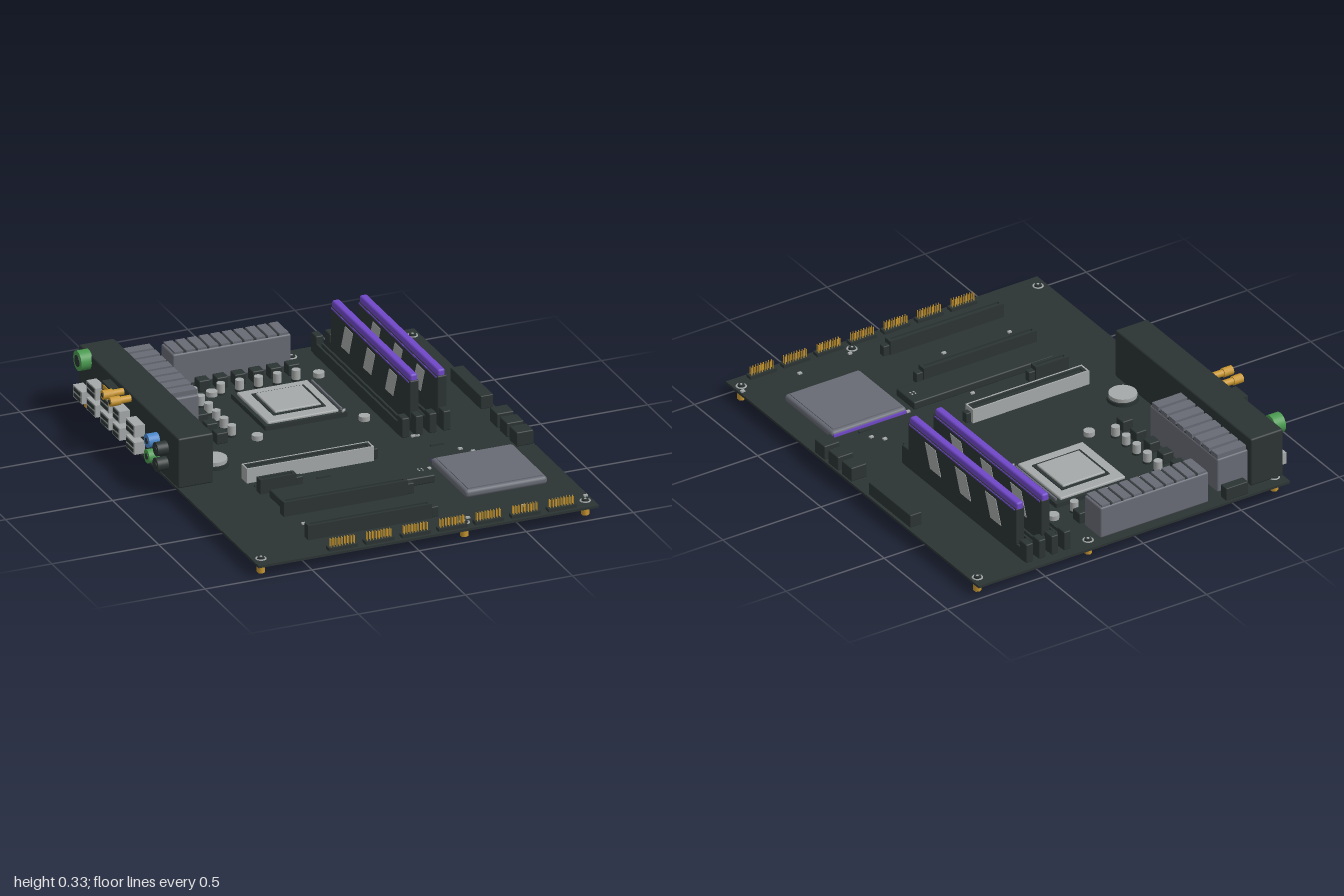
import * as THREE from 'three';
import { RoundedBoxGeometry } from 'three/addons/geometries/RoundedBoxGeometry.js';

const mat = (name, color) => new THREE.MeshStandardMaterial({ name, color });

export function createModel() {
  const dark = mat('charcoal', 0x2b3433);
  const grey = mat('heatsink grey', 0x686b75);
  const silver = mat('silver', 0xa6a9a9);
  const gold = mat('brass', 0xc8962f);
  const purple = mat('purple', 0x7048c8);
  const green = mat('green', 0x4a9a50);
  const blue = mat('blue', 0x4a86c8);
  const TOP = 0.063; // upper face of the board

  const root = new THREE.Group();
  root.name = 'mainboard';
  const group = (name) => {
    const g = new THREE.Group();
    g.name = name;
    root.add(g);
    return g;
  };
  const add = (parent, name, geo, m, x = 0, y = 0, z = 0) => {
    const mesh = new THREE.Mesh(geo, m);
    mesh.name = name;
    mesh.position.set(x, y, z);
    parent.add(mesh);
    return mesh;
  };
  // box from its limits on each axis; r > 0 rounds the edges
  const box = (p, name, m, x0, x1, y0, y1, z0, z1, r = 0) => {
    const s = [x1 - x0, y1 - y0, z1 - z0];
    const geo = r ? new RoundedBoxGeometry(...s, 2, r) : new THREE.BoxGeometry(...s);
    return add(p, name, geo, m, (x0 + x1) / 2, (y0 + y1) / 2, (z0 + z1) / 2);
  };
  // upright cylinder from y0 to y1
  const post = (p, name, m, x, z, r, y0, y1, sides = 20) =>
    add(p, name, new THREE.CylinderGeometry(r, r, y1 - y0, sides), m, x, (y0 + y1) / 2, z);
  // cylinder lying along x
  const plug = (p, name, m, x0, x1, y, z, r, sides = 20) => {
    const c = add(p, name, new THREE.CylinderGeometry(r, r, x1 - x0, sides), m, (x0 + x1) / 2, y, z);
    c.rotation.z = Math.PI / 2;
    return c;
  };
  // flat square ring with a rectangular hole, lying in the xz plane
  const frame = (p, name, m, x0, x1, z0, z1, t, y0, y1) => {
    box(p, name, m, x0, x1, y0, y1, z0, z0 + t);
    box(p, name, m, x0, x1, y0, y1, z1 - t, z1);
    box(p, name, m, x0, x0 + t, y0, y1, z0 + t, z1 - t);
    box(p, name, m, x1 - t, x1, y0, y1, z0 + t, z1 - t);
  };

  // Board with standoffs and screws
  box(root, 'board', dark, -0.75, 0.84, 0.052, TOP, -1, 1);
  const mounts = group('mounts');
  for (const x of [-0.71, 0.24, 0.805]) for (const z of [-0.935, 0.932]) {
    post(mounts, 'standoff', gold, x, z, 0.018, 0, 0.052, 6);
    const ring = add(mounts, 'screwRing', new THREE.TorusGeometry(0.021, 0.004, 6, 20), silver, x, TOP, z);
    ring.rotation.x = Math.PI / 2;
    post(mounts, 'screwHead', dark, x, z, 0.015, TOP, 0.072, 12);
    post(mounts, 'screwSlot', silver, x, z, 0.006, 0.072, 0.074, 6);
  }

  // Rear port cover
  box(root, 'portCover', dark, -0.75, -0.585, TOP, 0.297, -0.945, 0.13, 0.008);

  // Regulator heatsinks: solid body with raised fins
  const sinks = group('regulatorHeatsinks');
  box(sinks, 'sideBody', grey, -0.587, -0.43, 0.07, 0.235, -0.92, -0.385, 0.008);
  for (let i = 0; i < 8; i++) {
    const z = -0.915 + i * 0.0665;
    box(sinks, 'sideFin', grey, -0.58, -0.433, 0.23, 0.256, z, z + 0.05);
    if (i < 7) box(sinks, 'sideGroove', dark, -0.58, -0.434, 0.234, 0.238, z + 0.05, z + 0.0665);
  }
  box(sinks, 'rearBody', grey, -0.357, 0.195, 0.07, 0.221, -0.965, -0.835, 0.008);
  for (let i = 0; i < 10; i++) {
    const x = -0.347 + i * 0.0545;
    box(sinks, 'rearFin', grey, x, x + 0.042, 0.215, 0.23, -0.96, -0.84);
    if (i < 9) box(sinks, 'rearGroove', dark, x + 0.042, x + 0.0545, 0.218, 0.223, -0.96, -0.84);
  }

  // Processor socket
  const socket = group('processorSocket');
  box(socket, 'socketBase', dark, -0.168, 0.215, TOP, 0.085, -0.645, -0.272);
  box(socket, 'loadPlate', silver, -0.15, 0.182, 0.08, 0.096, -0.628, -0.288, 0.006);
  box(socket, 'lidGap', dark, -0.102, 0.143, 0.09, 0.1, -0.578, -0.34);
  box(socket, 'processorLid', silver, -0.088, 0.128, 0.095, 0.108, -0.564, -0.354, 0.005);
  box(socket, 'lever', grey, 0.195, 0.203, 0.085, 0.095, -0.62, -0.3);
  const handle = box(socket, 'leverHandle', silver, 0.19, 0.215, 0.085, 0.093, -0.289, -0.281);
  handle.rotation.y = 0.8;

  // Chokes and capacitors around the socket
  const power = group('powerStages');
  const choke = (x, z) => box(power, 'choke', dark, x - 0.027, x + 0.027, TOP, 0.115, z - 0.027, z + 0.027, 0.005);
  const cap = (x, z) => {
    post(power, 'capacitorFoot', dark, x, z, 0.021, TOP, 0.072);
    post(power, 'capacitor', silver, x, z, 0.019, 0.072, 0.115);
  };
  for (let i = 0; i < 6; i++) {
    choke(-0.243 + i * 0.0835, -0.78);
    choke(-0.39, -0.78 + i * 0.106);
    cap(-0.32, -0.705 + i * 0.084);
    if (i < 5) cap(-0.19 + i * 0.088, -0.705);
  }
  for (const x of [-0.232, 0.268]) for (const z of [-0.705, -0.212])
    post(power, 'coolerMount', silver, x, z, 0.025, TOP, 0.085, 12);
  box(power, 'powerConnector', dark, -0.543, -0.43, TOP, 0.125, -0.99, -0.945, 0.004);

  // Memory slots, two of them filled
  const memory = group('memory');
  const stripe = new THREE.Shape([[0.16, 0.268], [0.245, 0.268], [0.288, 0.155], [0.203, 0.155]]
    .map(([a, b]) => new THREE.Vector2(a, b)));
  const stripeGeo = new THREE.ExtrudeGeometry(stripe, { depth: 0.004, bevelEnabled: false });
  stripeGeo.translate(0, 0, -0.002).rotateY(Math.PI / 2);
  [0.357, 0.421, 0.485, 0.55].forEach((x, i) => {
    for (const s of [-1, 1]) box(memory, 'slotWall', dark, x + s * 0.012 - 0.005, x + s * 0.012 + 0.005, TOP, 0.12, -0.93, 0.01);
    box(memory, 'slotFloor', dark, x - 0.01, x + 0.01, TOP, 0.095, -0.93, 0.01);
    for (const z of [-0.955, -0.025]) box(memory, 'latch', dark, x - 0.018, x + 0.018, TOP, 0.155, z, z + 0.055, 0.005);
    if (i % 2 === 0) return;
    box(memory, 'moduleEdge', dark, x - 0.005, x + 0.005, 0.095, 0.14, -0.885, -0.025);
    box(memory, 'moduleCover', dark, x - 0.022, x + 0.022, 0.121, 0.298, -0.88, -0.025, 0.006);
    box(memory, 'moduleLightBar', purple, x - 0.018, x + 0.018, 0.285, 0.326, -0.88, -0.03, 0.01);
    for (const s of [-1, 1]) {
      box(memory, 'moduleLightEdge', purple, x + s * 0.022 - 0.002, x + s * 0.022 + 0.002, 0.287, 0.294, -0.87, -0.035);
      for (let k = 0; k < 3; k++) add(memory, 'moduleStripe', stripeGeo, silver, x + s * 0.022, 0, -k * 0.238);
    }
  });

  // Expansion slots
  const slots = group('expansionSlots');
  const slot = (x0, x1, z, w = 0.042) => {
    for (const s of [-1, 1]) {
      const c = z + s * (w / 2 - 0.007);
      box(slots, 'slotWall', dark, x0, x1, TOP, 0.13, c - 0.007, c + 0.007);
    }
    for (const x of [x0, x1 - 0.014]) box(slots, 'slotEnd', dark, x, x + 0.014, TOP, 0.13, z - w / 2, z + w / 2);
    box(slots, 'slotFloor', dark, x0, x1, TOP, 0.122, z - w / 2 + 0.01, z + w / 2 - 0.01);
    box(slots, 'slotLatch', dark, x1, x1 + 0.033, TOP, 0.112, z - 0.016, z + 0.016, 0.004);
  };
  slot(-0.449, 0.129, 0.165, 0.05);
  frame(slots, 'slotArmour', silver, -0.457, 0.137, 0.135, 0.195, 0.007, TOP, 0.131);
  slot(-0.449, -0.28, 0.302);
  slot(-0.449, 0.13, 0.555);
  slot(-0.449, 0.13, 0.818);

  // Storage cover and chipset heatsink
  box(root, 'storageCover', dark, -0.425, 0.29, TOP, 0.1, 0.363, 0.505, 0.006);
  for (const dx of [-0.008, 0.008]) for (const dz of [-0.008, 0.008])
    box(root, 'coverScrew', silver, 0.247 + dx, 0.254 + dx, 0.1, 0.102, 0.43 + dz, 0.437 + dz);
  box(root, 'chipsetHeatsink', grey, 0.338, 0.722, 0.067, 0.104, 0.342, 0.722, 0.015);
  box(root, 'chipsetPlate', grey, 0.355, 0.705, 0.1, 0.108, 0.36, 0.705);
  box(root, 'chipsetLightStrip', purple, 0.345, 0.715, 0.08, 0.092, 0.336, 0.344);

  // Right edge connectors
  const edge = group('edgeConnectors');
  box(edge, 'mainPowerConnector', dark, 0.768, 0.828, TOP, 0.125, -0.44, -0.112, 0.004);
  for (const z of [0.015, 0.122, 0.228]) box(edge, 'driveConnector', dark, 0.755, 0.835, TOP, 0.13, z, z + 0.078, 0.005);

  // Pin headers along the front edge
  const headers = group('pinHeaders');
  for (let i = 0; i < 7; i++) {
    const x = -0.413 + i * 0.1708;
    box(headers, 'headerBase', dark, x, x + 0.133, TOP, 0.078, 0.95, 0.985);
    for (let k = 0; k < 9; k++) for (const z of [0.961, 0.974])
      box(headers, 'pin', gold, x + 0.011 + k * 0.0135, x + 0.0145 + k * 0.0135, 0.07, 0.115, z - 0.002, z + 0.002);
  }

  // Coin battery
  const battery = group('battery');
  post(battery, 'batteryHolder', dark, -0.512, -0.045, 0.07, TOP, 0.08, 32);
  post(battery, 'batteryCell', silver, -0.512, -0.045, 0.062, 0.08, 0.097, 32);

  // Rear ports
  const ports = group('rearPorts');
  const usb = (z0, z1, y) => {
    box(ports, 'usbShell', silver, -0.798, -0.745, y - 0.028, y + 0.028, z0, z1);
    for (const dy of [-0.013, 0.013]) box(ports, 'usbOpening', dark, -0.801, -0.796, y + dy - 0.008, y + dy + 0.008, z0 + 0.012, z1 - 0.012);
  };
  for (const [z0, z1] of [[-0.895, -0.8], [-0.75, -0.65], [-0.605, -0.505], [-0.47, -0.39], [-0.325, -0.23]]) {
    usb(z0, z1, 0.11);
    if (z0 > -0.85) usb(z0, z1, 0.19);
  }
  plug(ports, 'keyboardPort', green, -0.798, -0.745, 0.268, -0.848, 0.045, 28);
  plug(ports, 'keyboardOpening', dark, -0.801, -0.796, 0.268, -0.848, 0.026);
  box(ports, 'displayPort', dark, -0.79, -0.745, 0.235, 0.275, -0.605, -0.51);
  box(ports, 'displayRim', gold, -0.793, -0.788, 0.245, 0.265, -0.59, -0.525);
  for (const z of [-0.465, -0.387]) {
    plug(ports, 'antennaBase', gold, -0.8, -0.745, 0.275, z, 0.016);
    plug(ports, 'antennaNut', gold, -0.847, -0.8, 0.275, z, 0.021, 12);
    plug(ports, 'antennaHole', dark, -0.849, -0.846, 0.275, z, 0.01, 12);
  }
  const jack = (m, y, z) => {
    plug(ports, 'audioJack', m, -0.8, -0.745, y, z, 0.031, 24);
    plug(ports, 'audioOpening', dark, -0.802, -0.797, y, z, 0.014);
  };
  jack(blue, 0.205, -0.095);
  jack(green, 0.132, -0.095);
  jack(dark, 0.205, 0);
  jack(dark, 0.132, 0);

  // Small surface components
  const chips = group('smallComponents');
  for (const [x, z] of [[0.525, 0.23], [0.565, 0.275], [0.32, 0.365], [-0.055, 0.525], [-0.4, 0.677], [-0.07, 0.685],
    [0.005, 0.342], [0.54, 0.88], [0.825, 0.89], [0.39, 0.03], [0.41, 0.03], [0.27, 0.9]])
    box(chips, 'chip', silver, x - 0.009, x + 0.009, TOP, 0.07, z - 0.007, z + 0.007);
  for (const [x, z] of [[-0.13, 0.265], [-0.41, 0.24], [0.56, 0.335], [0.45, 0.15]])
    box(chips, 'darkChip', dark, x - 0.03, x + 0.03, TOP, 0.07, z - 0.006, z + 0.006);

  return root;
}
